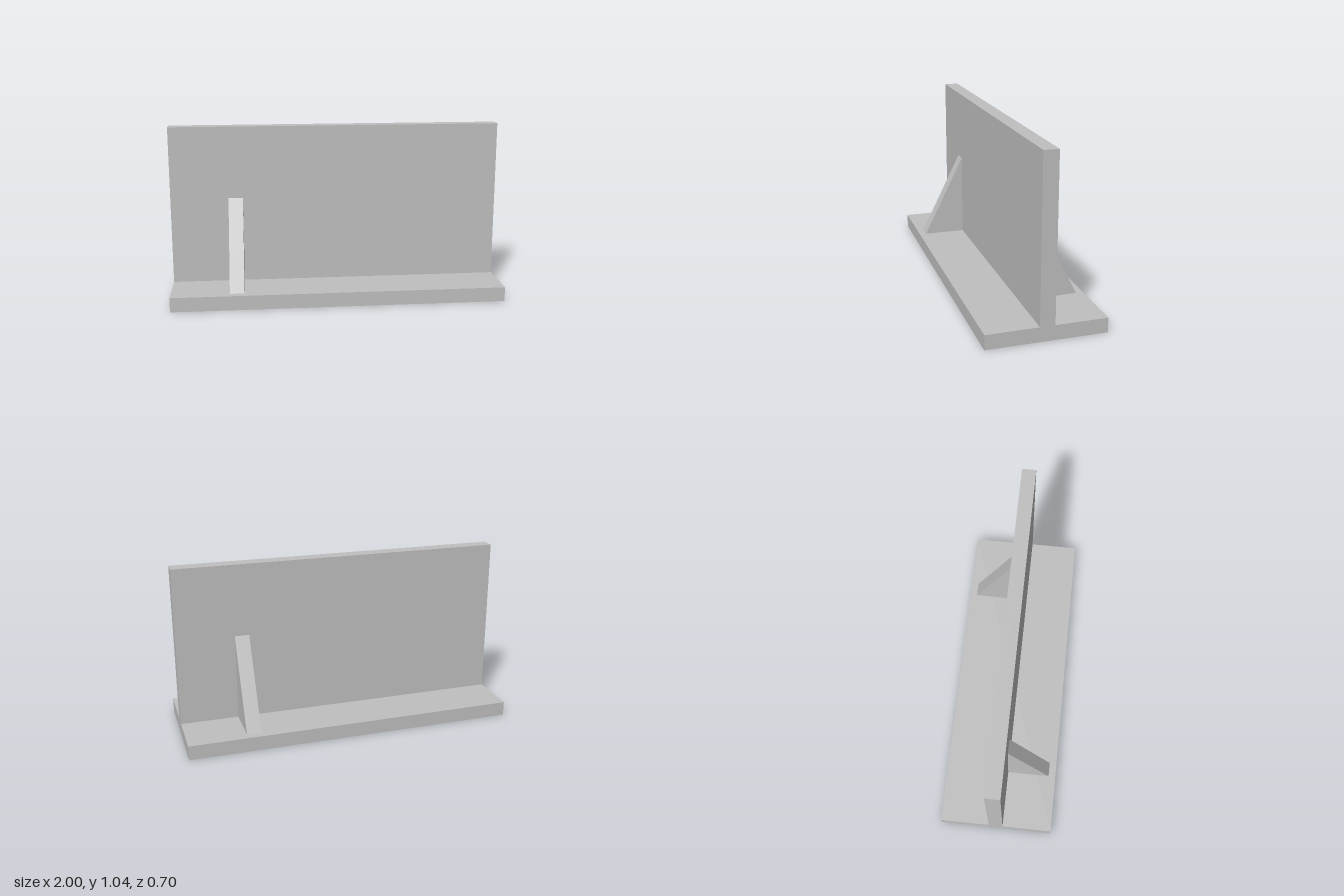
import * as THREE from 'three';

const U = 2 / 23; // plate thickness; every dimension is a multiple of it

export function createModel() {
  const group = new THREE.Group();
  const grey = new THREE.MeshStandardMaterial({ color: 0xc0c0c0 });
  grey.name = 'plain grey';

  const add = (name, geometry, x, y, z) => {
    const mesh = new THREE.Mesh(geometry, grey);
    mesh.name = name;
    mesh.position.set(x, y, z);
    group.add(mesh);
    return mesh;
  };

  // Flat foot and upright panel
  add('basePlate', new THREE.BoxGeometry(2, U, 8 * U), 0, U / 2, 0);
  add('uprightPanel', new THREE.BoxGeometry(2, 11 * U, U), 0, 6.5 * U, 0);

  // Triangular brace: profile in z and y, extruded across x
  const profile = new THREE.Shape([
    new THREE.Vector2(0, 0),
    new THREE.Vector2(3 * U, 0),
    new THREE.Vector2(0, 6 * U),
  ]);
  const brace = new THREE.ExtrudeGeometry(profile, { depth: U, bevelEnabled: false });
  brace.translate(0, 0, -U / 2).rotateY(-Math.PI / 2);

  // One brace on each side, at opposite ends
  add('frontBrace', brace, -7 * U, U, U / 2);
  add('backBrace', brace, 7 * U, U, -U / 2).rotation.y = Math.PI;

  return group;
}
